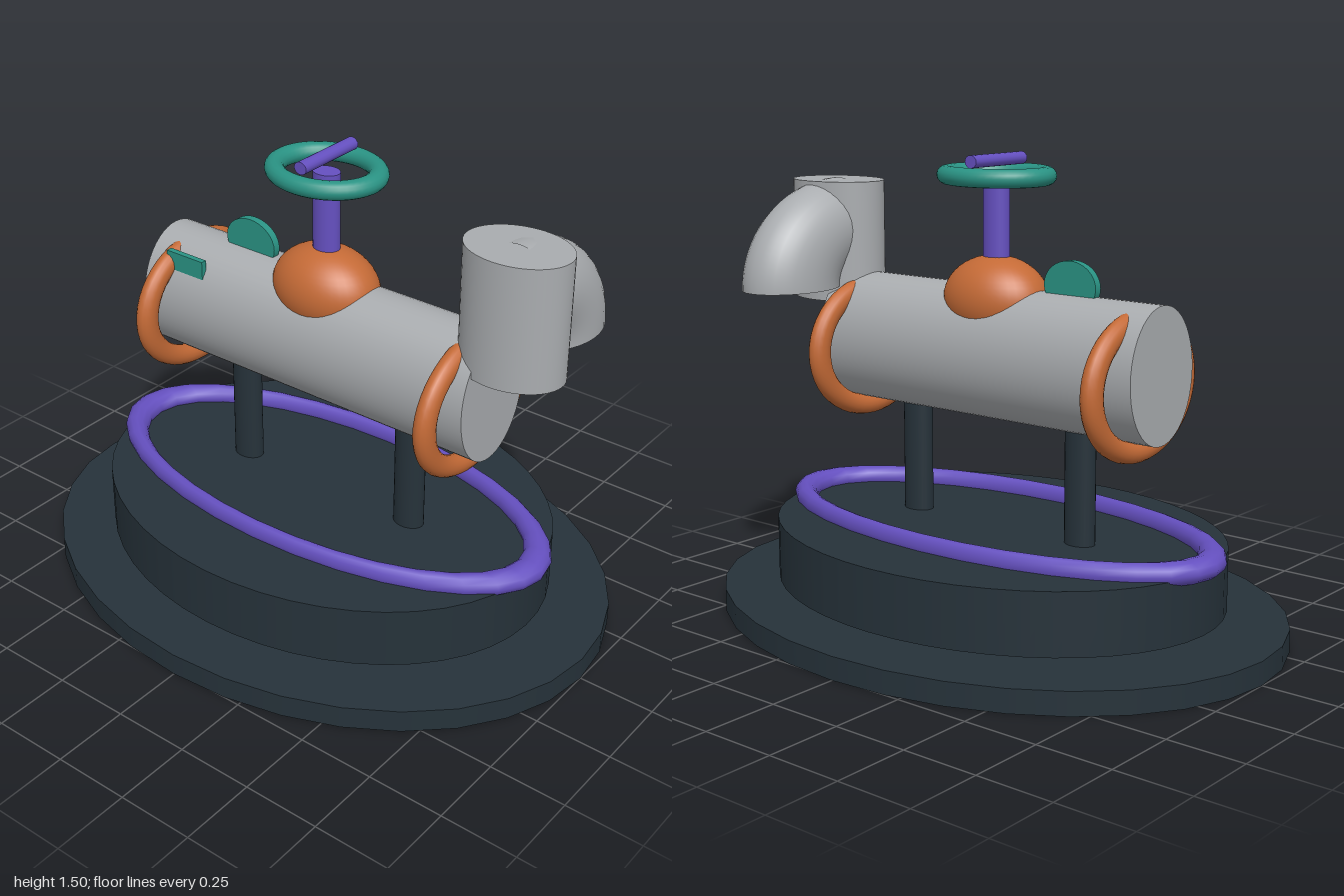
import * as THREE from 'three';

export function createModel() {
  const model = new THREE.Group();
  const mat = (name, color, side = THREE.FrontSide) => {
    const m = new THREE.MeshStandardMaterial({ color, side });
    m.name = name;
    return m;
  };
  const slate = mat('slate', 0x26323a);
  const steel = mat('steel', 0xa9acaf, THREE.DoubleSide);
  const copper = mat('copper', 0xc46a36);
  const violet = mat('violet', 0x6550c0);
  const teal = mat('teal', 0x2a9384);

  const add = (name, geometry, material, position, scale = [1, 1, 1], rotation = [0, 0, 0]) => {
    const mesh = new THREE.Mesh(geometry, material);
    mesh.name = name;
    mesh.position.set(...position);
    mesh.scale.set(...scale);
    mesh.rotation.set(...rotation);
    model.add(mesh);
    return mesh;
  };
  // Unit-radius cylinder; the scale gives its elliptical radii and length
  const rod = (segments) => new THREE.CylinderGeometry(1, 1, 1, segments);
  const quarter = Math.PI / 2;

  // Oval base and the raised plinth floating just above it
  add('base', rod(32), slate, [0, 0.0375, 0], [1, 0.075, 0.764]);
  add('plinth', rod(48), slate, [0, 0.205, 0], [0.794, 0.2, 0.606]);
  add('plinthRing', new THREE.TorusGeometry(0.6, 0.0375, 12, 32), violet,
    [0, 0.318, 0], [1.32, 0.6, 1], [quarter, 0, 0]);

  // Supports and the clamp rings around the pipe
  for (const side of [-1, 1]) {
    add('supportLeg', rod(24), slate, [side * 0.335, 0.38, 0], [0.053, 0.64, 0.04]);
    add('clampRing', new THREE.TorusGeometry(0.24, 0.04, 16, 48), copper,
      [side * 0.55, 0.835, 0], [1, 0.84, 0.8], [0, quarter, 0]);
  }

  // Main pipe lying along x
  add('mainPipe', rod(48), steel, [-0.003, 0.872, 0], [0.2125, 1.255, 0.163], [0, 0, quarter]);

  // Upright outlet with an open elbow bending down at the back
  add('outletPipe', rod(48), steel, [0.685, 1.187, 0], [0.17, 0.395, 0.13]);
  add('outletElbow', new THREE.TorusGeometry(0.231, 0.179, 32, 24, quarter), steel,
    [0.685, 1.04, 0], [1, 0.854, 0.765], [0, quarter, 0]);

  // Valve dome, stem, handwheel and crossbar
  add('valveDome', new THREE.SphereGeometry(1, 40, 24), copper, [0, 1.043, 0], [0.185, 0.14, 0.14]);
  add('valveStem', rod(24), violet, [0, 1.27, 0], [0.046, 0.32, 0.037]);
  add('handwheel', new THREE.TorusGeometry(0.14, 0.028, 16, 48), teal,
    [0, 1.432, 0], [1.19, 1, 1.05], [quarter, 0, 0]);
  add('crossbar', rod(16), violet, [0, 1.479, 0], [0.023, 0.25, 0.02], [quarter, 0, 0]);

  // Gauge disc on top and the small tag on the front of the pipe
  add('gaugeDisc', rod(32), teal, [-0.297, 1.11, 0], [0.098, 0.026, 0.079], [quarter, 0, 0]);
  add('pipeTag', new THREE.BoxGeometry(0.15, 0.062, 0.02), teal, [-0.473, 1.023, 0.125]);

  return model;
}
